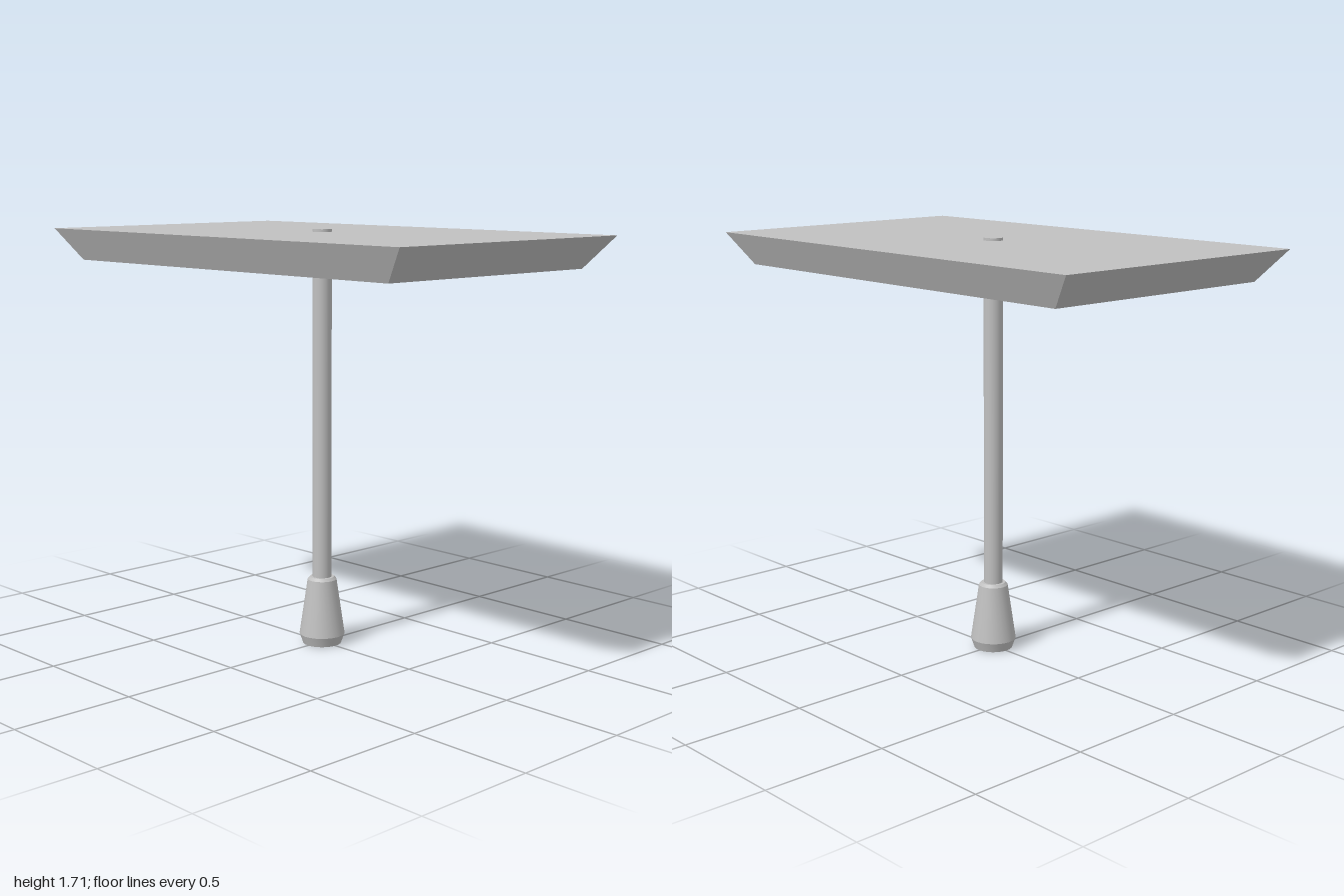
import * as THREE from 'three';
import { toCreasedNormals } from 'three/addons/utils/BufferGeometryUtils.js';

// Skin a stack of rectangles [halfX, y, halfZ], closed at the first and last one
function rectangleLoft(sections) {
  const loops = sections.map(([hx, y, hz]) => [
    [-hx, y, hz], [hx, y, hz], [hx, y, -hz], [-hx, y, -hz],
  ]);
  const positions = [];
  const quad = (a, b, c, d) => [a, b, c, a, c, d].forEach((p) => positions.push(...p));

  quad(...loops[0]);
  for (let i = 0; i < loops.length - 1; i++) {
    for (let k = 0; k < 4; k++) {
      const n = (k + 1) % 4;
      quad(loops[i][k], loops[i + 1][k], loops[i + 1][n], loops[i][n]);
    }
  }
  quad(...loops[loops.length - 1].slice().reverse());

  const geometry = new THREE.BufferGeometry();
  geometry.setAttribute('position', new THREE.Float32BufferAttribute(positions, 3));
  geometry.computeVertexNormals();
  return geometry;
}

export function createModel() {
  const model = new THREE.Group();
  const grey = new THREE.MeshStandardMaterial({ color: 0xc0c0c0 });
  grey.name = 'light grey';

  const add = (name, geometry) => {
    const mesh = new THREE.Mesh(geometry, grey);
    mesh.name = name;
    model.add(mesh);
    return mesh;
  };

  // Bevelled slab with a slot sunk into its underside
  add('slab', rectangleLoft([
    [1.0, 1.702, 0.597],
    [0.887, 1.573, 0.533],
    [0.505, 1.573, 0.06],
    [0.365, 1.673, 0.06],
  ]));

  // Round post, standing slightly proud of the slab
  const post = add('post', new THREE.CylinderGeometry(0.039, 0.039, 1.463, 24));
  post.position.y = 0.25 + 1.463 / 2;

  // Tapered grip with chamfered ends
  const profile = [
    [0, 0], [0.08, 0], [0.094, 0.04], [0.06, 0.272], [0.05, 0.283], [0, 0.283],
  ].map(([r, y]) => new THREE.Vector2(r, y));
  add('grip', toCreasedNormals(new THREE.LatheGeometry(profile, 24), 0.4));

  return model;
}
